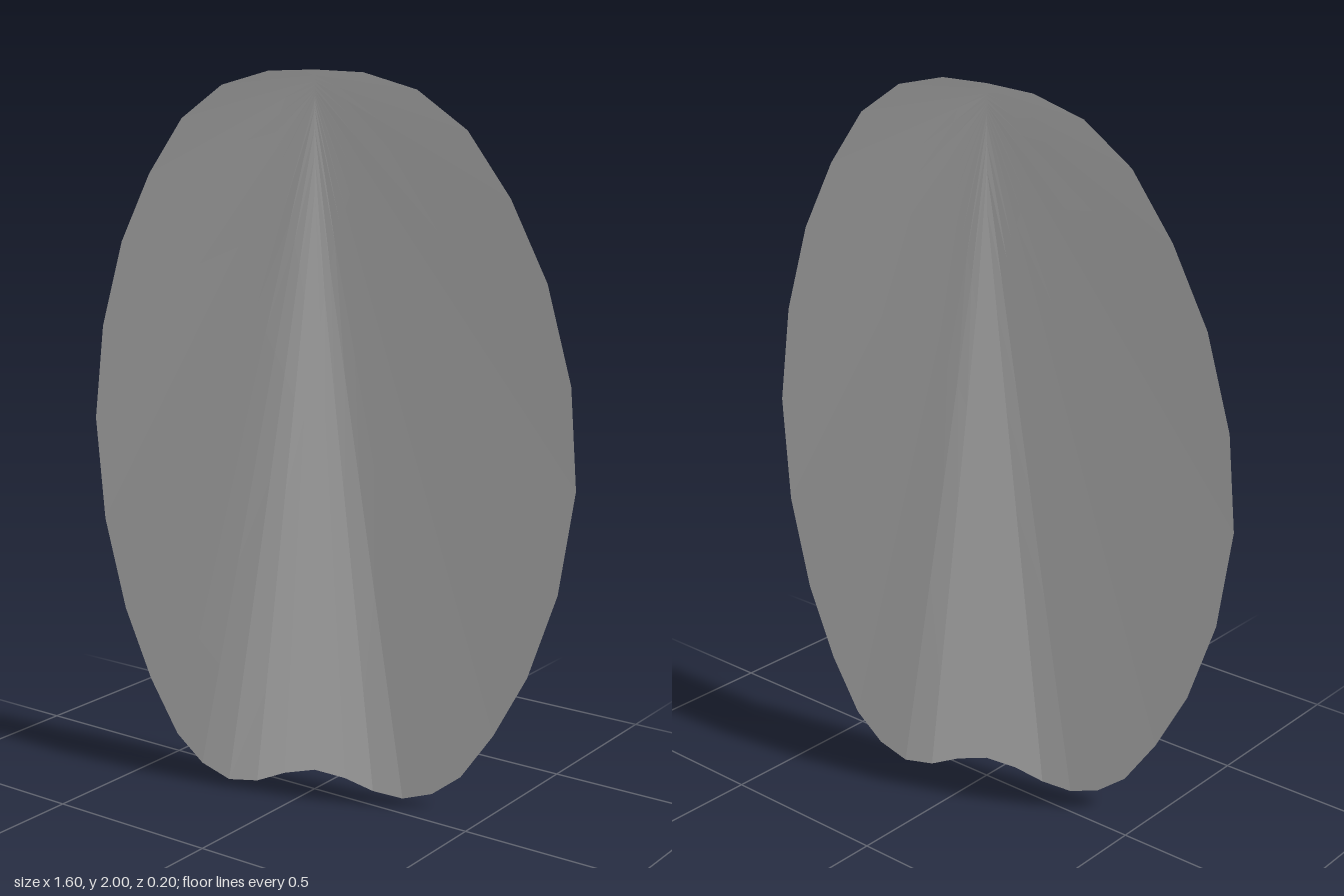
import * as THREE from 'three';

// Right half of the rim, from the tip down to the bottom notch: x, y, z,
// and the height on the spine where the ruling from that rim point ends
const HALF_RIM = [
  [0, 2, 0, 2], [0.17, 1.995, 0.022, 1.995], [0.35, 1.955, 0.047, 1.985],
  [0.51, 1.86, 0.065, 1.975], [0.64, 1.7, 0.072, 1.97], [0.74, 1.5, 0.06, 1.96],
  [0.8, 1.25, 0.037, 1.95], [0.8, 0.98, -0.003, 1.945], [0.735, 0.69, -0.043, 1.94],
  [0.635, 0.44, -0.073, 1.93], [0.525, 0.25, -0.092, 1.92], [0.42, 0.105, -0.1, 1.9],
  [0.33, 0.035, -0.097, 1.85], [0.24, 0.003, -0.087, 1.78], [0.155, 0.012, -0.065, 1.68],
  [0.08, 0.043, -0.034, 1.58], [0, 0.06, 0, 1.53],
];
const RINGS = 6;

// Twisted petal sheet: straight rulings from a short spine out to the rim
function petalGeometry() {
  // the other half is the first one turned half a revolution about y
  const otherHalf = HALF_RIM.slice(1, -1).reverse().map(([x, y, z, hub]) => [-x, y, -z, hub]);
  const rim = [...HALF_RIM, ...otherHalf];
  const n = rim.length;
  const positions = [];
  const index = [];

  for (let r = 0; r <= RINGS; r++) {
    const t = r / RINGS;
    for (const [x, y, z, hub] of rim) positions.push(x * t, hub + (y - hub) * t, z * t);
  }
  const at = (r, i) => r * n + (i % n);
  for (let r = 0; r < RINGS; r++) {
    for (let i = 0; i < n; i++) {
      index.push(at(r, i), at(r + 1, i + 1), at(r + 1, i));
      index.push(at(r, i), at(r, i + 1), at(r + 1, i + 1));
    }
  }
  const geometry = new THREE.BufferGeometry();
  geometry.setAttribute('position', new THREE.Float32BufferAttribute(positions, 3));
  geometry.setIndex(index);
  const faceted = geometry.toNonIndexed();
  faceted.computeVertexNormals();
  return faceted;
}

export function createModel() {
  const group = new THREE.Group();
  group.name = 'twistedPetal';
  const material = new THREE.MeshStandardMaterial({ color: 0xbebebe, side: THREE.DoubleSide });
  material.name = 'light grey';
  const petal = new THREE.Mesh(petalGeometry(), material);
  petal.name = 'petal';
  group.add(petal);
  return group;
}
